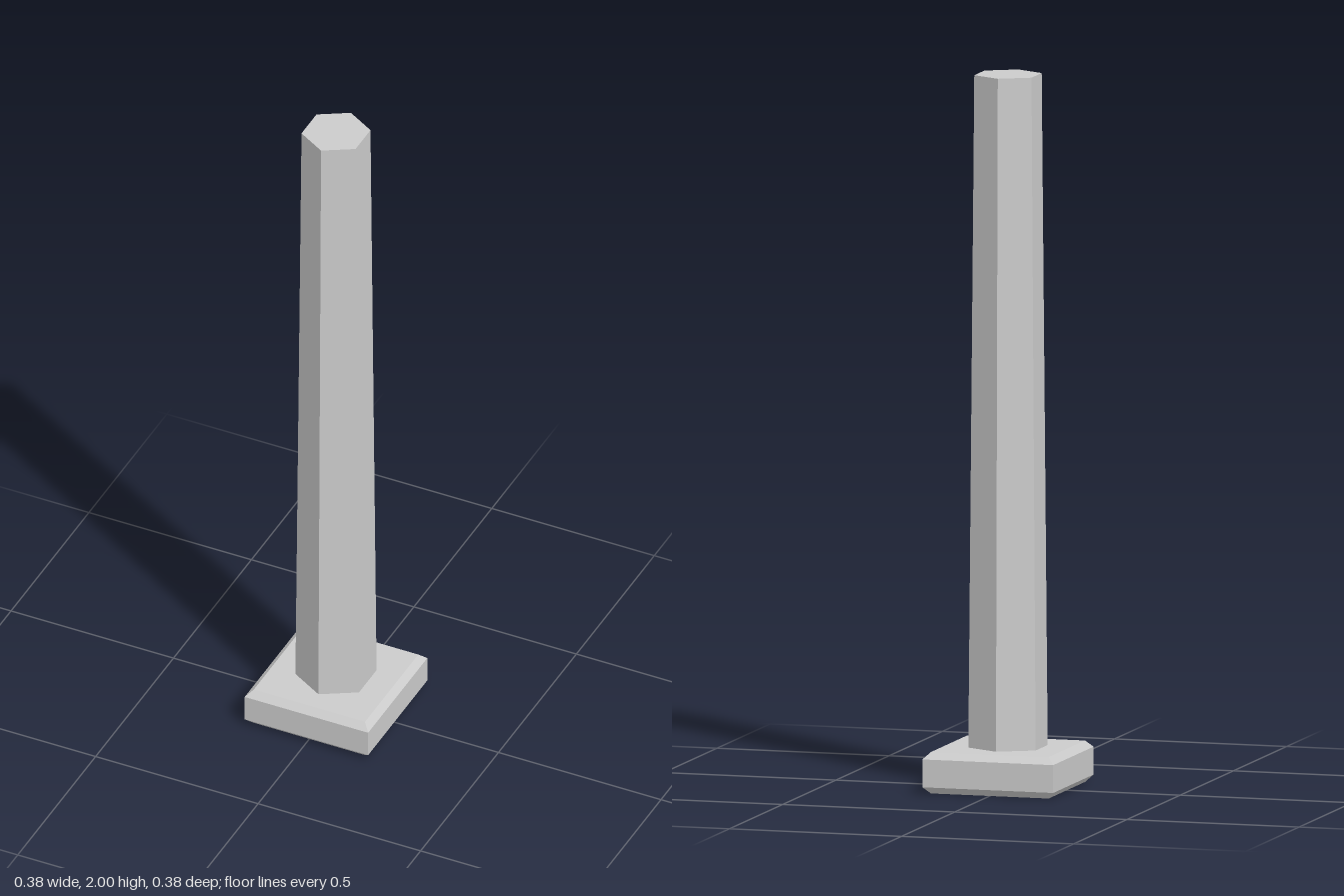
import * as THREE from 'three';

export function createModel() {
  const group = new THREE.Group();
  const material = new THREE.MeshStandardMaterial({ color: 0xcccccc, flatShading: true });
  const add = (name, geometry, y = 0) => {
    const mesh = new THREE.Mesh(geometry, material);
    mesh.name = name;
    mesh.position.y = y;
    group.add(mesh);
  };

  // Square base with chamfered top and bottom edges: a four-sided lathe
  const half = 0.19, height = 0.116, bevel = 0.019;
  const profile = [
    [0, 0], [half - bevel, 0], [half, bevel],
    [half, height - bevel], [half - bevel, height], [0, height],
  ].map(([x, y]) => new THREE.Vector2(x * Math.SQRT2, y));
  add('base', new THREE.LatheGeometry(profile, 4, Math.PI / 4));

  // Tapering hexagonal column with corners facing front and back
  const columnHeight = 2 - height;
  add('column', new THREE.CylinderGeometry(0.096, 0.113, columnHeight, 6), height + columnHeight / 2);

  return group;
}
